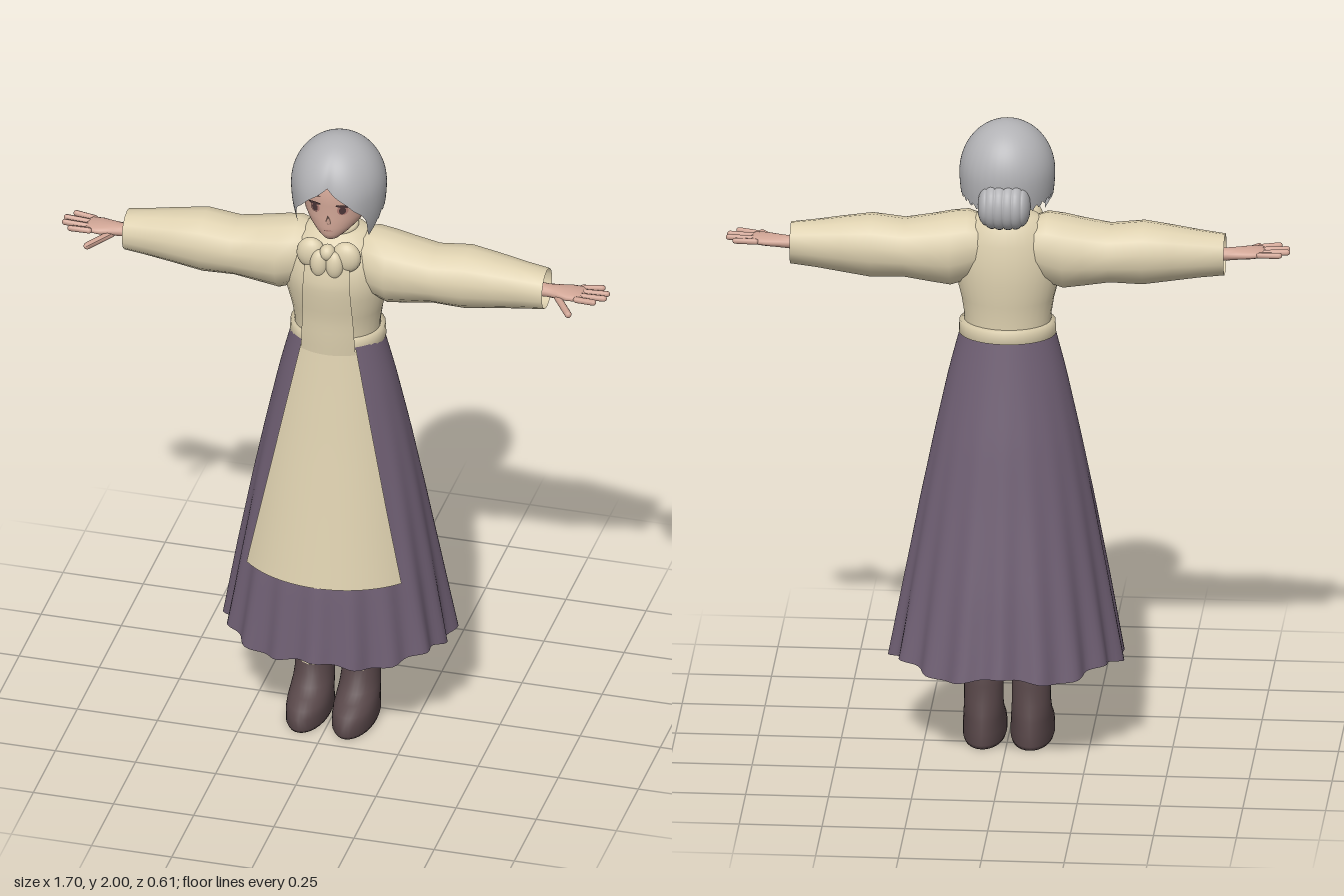
import * as THREE from 'three';

const mat = (name, color) => Object.assign(new THREE.MeshStandardMaterial({ color, side: THREE.DoubleSide }), { name });
const { sin, cos, abs, sqrt, PI, asin, min } = Math;

// Grid surface from fn(u, v) -> [x, y, z]; closed wraps u
function surface(fn, nu, nv, closed = false) {
  const pos = [], idx = [], cols = closed ? nu : nu + 1;
  for (let j = 0; j <= nv; j++)
    for (let i = 0; i < cols; i++) pos.push(...fn(i / nu, j / nv));
  for (let j = 0; j < nv; j++)
    for (let i = 0; i < nu; i++) {
      const k = (i + 1) % cols, a = j * cols + i, b = j * cols + k;
      idx.push(a, b, b + cols, a, b + cols, a + cols);
    }
  const g = new THREE.BufferGeometry();
  g.setAttribute('position', new THREE.Float32BufferAttribute(pos, 3));
  g.setIndex(idx);
  g.computeVertexNormals();
  return g;
}

// Linear interpolation of rows keyed by their first number
function at(rows, t) {
  let i = 0;
  while (i < rows.length - 2 && t > rows[i + 1][0]) i++;
  const a = rows[i], b = rows[i + 1];
  const f = THREE.MathUtils.clamp((t - a[0]) / (b[0] - a[0]), 0, 1);
  return a.map((v, k) => v + (b[k] - v) * f);
}

// Elliptical rings stacked along y: [y, centreX, centreZ, radiusX, radiusZ]
const loftY = (rings, n = 32) => surface((u, v) => {
  const [y, cx, cz, rx, rz] = rings[Math.round(v * (rings.length - 1))], a = u * 2 * PI;
  return [cx + rx * sin(a), y, cz + rz * cos(a)];
}, n, rings.length - 1, true);

// Elliptical rings stacked along x: [x, centreY, centreZ, radiusY, radiusZ]
const loftX = (rings, n = 24) => surface((u, v) => {
  const [x, cy, cz, ry, rz] = rings[Math.round(v * (rings.length - 1))], a = u * 2 * PI;
  return [x, cy + ry * cos(a), cz + rz * sin(a)];
}, n, rings.length - 1, true);

function mirrored(geo) {
  const g = geo.clone().scale(-1, 1, 1), ix = g.index.array;
  for (let i = 0; i < ix.length; i += 3) [ix[i], ix[i + 1]] = [ix[i + 1], ix[i]];
  g.computeVertexNormals();
  return g;
}

// Rounded finger between two points
function finger(p, q, r) {
  const a = new THREE.Vector3(...p), d = new THREE.Vector3(...q).sub(a);
  const g = new THREE.CapsuleGeometry(r, d.length(), 4, 8);
  g.applyQuaternion(new THREE.Quaternion().setFromUnitVectors(new THREE.Vector3(0, 1, 0), d.clone().normalize()));
  return g.translate(...a.addScaledVector(d, 0.5).toArray());
}

const blob = (x, y, z, rx, ry, rz) => new THREE.SphereGeometry(1, 20, 14).scale(rx, ry, rz).translate(x, y, z);

export function createModel() {
  const root = new THREE.Group();
  root.name = 'womanInApron';
  const cream = mat('cream cloth', 0xdccfae), plum = mat('plum cloth', 0x6f5f73), skin = mat('skin', 0xd0a595);
  const grey = mat('grey hair', 0xb2b2b5), boot = mat('boot leather', 0x574648);
  const dark = mat('eye brown', 0x4a3436), lip = mat('lip', 0xb07d74);
  const add = (name, geo, m) => {
    const mesh = new THREE.Mesh(geo, m);
    mesh.name = name;
    root.add(mesh);
    return mesh;
  };
  const pair = (name, geo, m) => {
    add('left' + name, geo, m);
    add('right' + name, mirrored(geo), m);
  };

  // Skirt: [y, radiusX, frontZ, backZ], folds deepen toward the hem
  const skirtRows = [[0.3, 0.347, 0.295, -0.295], [0.55, 0.305, 0.267, -0.25], [0.8, 0.26, 0.224, -0.2],
    [1.0, 0.22, 0.19, -0.162], [1.2, 0.176, 0.158, -0.118], [1.33, 0.142, 0.138, -0.09]];
  const skirtPoint = (a, y, off = 0) => {
    const [, rx, zf, zb] = at(skirtRows, y), t = (1.33 - y) / 1.03;
    const k = 1 + t * t * (0.032 * cos(18 * a) + 0.014 * sin(7 * a + 1));
    const r = off ? 1 + t * t * 0.012 : k;
    return [(rx * r + off) * sin(a), y, (zf + zb) / 2 + ((zf - zb) / 2 * r + off) * cos(a)];
  };
  add('skirt', surface((u, v) => {
    const a = u * 2 * PI, p = skirtPoint(a, 0.3 + 1.03 * v);
    p[1] += (1 - v) ** 8 * 0.012 * cos(6 * a);
    return p;
  }, 144, 20, true), plum);

  // Apron panel and bib
  add('apron', surface((u, v) => {
    const y = 0.56 + 0.77 * v, half = asin(min(0.95, (0.24 - 0.155 * v) / (at(skirtRows, y)[1] + 0.008)));
    return skirtPoint((u * 2 - 1) * half, y, 0.008);
  }, 32, 16), cream);
  const bibRows = [[1.31, 0.152], [1.36, 0.155], [1.43, 0.157], [1.5, 0.166], [1.56, 0.171], [1.62, 0.158]];
  add('apronBib', surface((u, v) => {
    const y = 1.31 + 0.31 * v, x = (u * 2 - 1) * (0.085 - 0.015 * v);
    return [x, y, at(bibRows, y)[1] - 3 * x * x];
  }, 12, 12), cream);

  // Bodice and waistband
  add('bodice', loftY([[1.33, 0, 0.022, 0.13, 0.106], [1.38, 0, 0.024, 0.132, 0.106], [1.43, 0, 0.027, 0.14, 0.113],
    [1.5, 0, 0.031, 0.158, 0.122], [1.56, 0, 0.036, 0.163, 0.122], [1.62, 0, 0.032, 0.155, 0.11],
    [1.67, 0, 0.024, 0.125, 0.085], [1.695, 0, 0.02, 0.09, 0.062], [1.7, 0, 0.02, 0.05, 0.045]]), cream);
  add('waistband', loftY([[1.318, 0, 0.018, 0.135, 0.11], [1.318, 0, 0.018, 0.147, 0.12],
    [1.358, 0, 0.016, 0.145, 0.118], [1.358, 0, 0.016, 0.125, 0.1]]), cream);

  // Puffed sleeves with open cuffs
  pair('Sleeve', loftX([[0.07, 1.6, 0.022, 0.085, 0.08], [0.12, 1.592, 0.024, 0.11, 0.1], [0.17, 1.58, 0.026, 0.115, 0.104],
    [0.23, 1.578, 0.026, 0.104, 0.1], [0.31, 1.577, 0.027, 0.09, 0.096], [0.41, 1.581, 0.027, 0.098, 0.096],
    [0.5, 1.581, 0.028, 0.085, 0.083], [0.58, 1.58, 0.03, 0.073, 0.07], [0.655, 1.579, 0.031, 0.064, 0.06]], 14), cream);

  // Hands
  pair('Palm', loftX([[0.6, 1.578, 0.036, 0.022, 0.027], [0.66, 1.578, 0.037, 0.019, 0.024], [0.69, 1.58, 0.04, 0.018, 0.031],
    [0.73, 1.583, 0.043, 0.016, 0.042], [0.765, 1.585, 0.044, 0.013, 0.041], [0.78, 1.585, 0.044, 0.002, 0.03]], 16), skin);
  [[0.006, 0.002, 0.82], [0.03, 0.032, 0.842], [0.055, 0.06, 0.84], [0.079, 0.09, 0.815]].forEach(([z0, z1, x], i) =>
    pair('Finger' + (i + 1), finger([0.76, 1.586, z0 + 0.003], [x, 1.59, z1], 0.0095), skin));
  pair('Thumb', finger([0.695, 1.572, 0.06], [0.75, 1.566, 0.138], 0.011), skin);

  // Neck and head
  add('neck', loftY([[1.66, 0, 0.015, 0.05, 0.047], [1.71, 0, 0.016, 0.042, 0.042], [1.79, 0, 0.02, 0.044, 0.045]], 20), skin);
  const headRows = [[1.695, 0, 0.095, 0.005, 0.006], [1.702, 0, 0.088, 0.026, 0.034], [1.72, 0, 0.07, 0.05, 0.06],
    [1.745, 0, 0.045, 0.077, 0.087], [1.775, 0, 0.025, 0.097, 0.107], [1.82, 0, 0.015, 0.108, 0.115],
    [1.88, 0, 0.012, 0.112, 0.122], [1.94, 0, 0.01, 0.085, 0.09], [1.97, 0, 0.01, 0.01, 0.01]];
  add('head', loftY(headRows, 40), skin);
  const nose = new THREE.ConeGeometry(0.009, 0.03, 8).rotateX(0.35).translate(0, 1.778, 0.133);
  add('nose', nose, skin);

  // Painted face details that follow the head surface
  const decal = (cx, cy, rx, ry, off, tilt = 0) => {
    const g = new THREE.CircleGeometry(1, 20).scale(rx, ry, 1).rotateZ(tilt).translate(cx, cy, 0), p = g.attributes.position;
    for (let i = 0; i < p.count; i++) {
      const [, , cz, hx, hz] = at(headRows, p.getY(i));
      p.setZ(i, cz + hz * sqrt(Math.max(0, 1 - (p.getX(i) / hx) ** 2)) + off);
    }
    g.computeVertexNormals();
    return g;
  };
  pair('Iris', decal(0.043, 1.809, 0.016, 0.016, 0.003), lip);
  pair('Pupil', decal(0.043, 1.809, 0.01, 0.012, 0.005), dark);
  pair('Lash', decal(0.045, 1.824, 0.022, 0.005, 0.005, -0.15), dark);
  pair('Brow', decal(0.043, 1.85, 0.02, 0.0025, 0.004, -0.25), dark);
  add('mouth', decal(0, 1.737, 0.014, 0.0025, 0.003), lip);

  // Hair cap: hem height by angle from the front in degrees
  const hem = [[0, 1.89], [10, 1.868], [24, 1.842], [34, 1.815], [44, 1.795], [52, 1.765], [58, 1.715], [63, 1.7],
    [70, 1.725], [82, 1.765], [110, 1.775], [140, 1.76], [165, 1.745], [180, 1.75]];
  add('hairCap', surface((u, v) => {
    const a = (u * 2 - 1) * PI, deg = abs(a) * 180 / PI, s = 1 - v;
    const jag = deg > 75 ? 0.008 * cos(deg * 0.6) : 0;
    const y = 2 - (2 - at(hem, deg)[1] - jag) * s * s;
    let r = y > 1.84 ? sqrt(Math.max(0, 1 - ((y - 1.84) / 0.16) ** 2)) : 1 - 0.13 * ((1.84 - y) / 0.13) ** 2;
    r *= 1 + s ** 3 * (0.035 * Math.exp(-(((deg - 32) / 18) ** 2)) - 0.03 * Math.exp(-((deg / 6) ** 2)));
    return [0.144 * r * sin(a), y, 0.008 + 0.147 * r * cos(a)];
  }, 120, 24, true), grey);

  // Ridged bun at the nape
  const bun = [];
  for (let i = 0; i <= 60; i++) {
    const t = i / 30 - 1, r = (1 - abs(t) ** 3.5) ** 0.45 * (0.92 + 0.08 * sqrt(abs(sin((t + 1) * PI * 3))));
    bun.push([0.08 * t, 1.77, -0.118, 0.072 * r, 0.062 * r]);
  }
  add('hairBun', loftX(bun, 24), grey);

  // Collar and ruffled neck bow
  add('collar', new THREE.TorusGeometry(0.052, 0.012, 8, 28).rotateX(PI / 2).translate(0, 1.698, 0.02), cream);
  pair('BowLoop', blob(0.055, 1.648, 0.125, 0.045, 0.05, 0.03), cream);
  pair('BowTail', blob(0.024, 1.627, 0.147, 0.028, 0.046, 0.024), cream);
  add('bowKnot', blob(0, 1.665, 0.14, 0.024, 0.026, 0.026), cream);

  // Boots, socks and laces
  pair('Boot', loftY([[0, 0.072, 0.07, 0.001, 0.001], [0, 0.072, 0.07, 0.062, 0.136], [0.012, 0.072, 0.072, 0.066, 0.142],
    [0.045, 0.072, 0.072, 0.066, 0.139], [0.065, 0.072, 0.064, 0.065, 0.128], [0.085, 0.072, 0.046, 0.063, 0.107],
    [0.105, 0.072, 0.03, 0.061, 0.087], [0.135, 0.072, 0.02, 0.059, 0.07], [0.19, 0.072, 0.018, 0.059, 0.057],
    [0.257, 0.072, 0.02, 0.062, 0.057], [0.257, 0.072, 0.02, 0.05, 0.045]]), boot);
  pair('Sock', loftY([[0.24, 0.072, 0.02, 0.057, 0.053], [0.276, 0.072, 0.02, 0.058, 0.054], [0.276, 0.072, 0.02, 0.001, 0.001]]), cream);
  for (const [y, z] of [[0.207, 0.0755], [0.172, 0.08]])
    for (const s of [-1, 1])
      pair('Lace', new THREE.BoxGeometry(0.03, 0.004, 0.008).rotateY(s * 0.25).rotateZ(s * 0.15).translate(0.068 + s * 0.016, y, z - 0.003), cream);

  return root;
}
